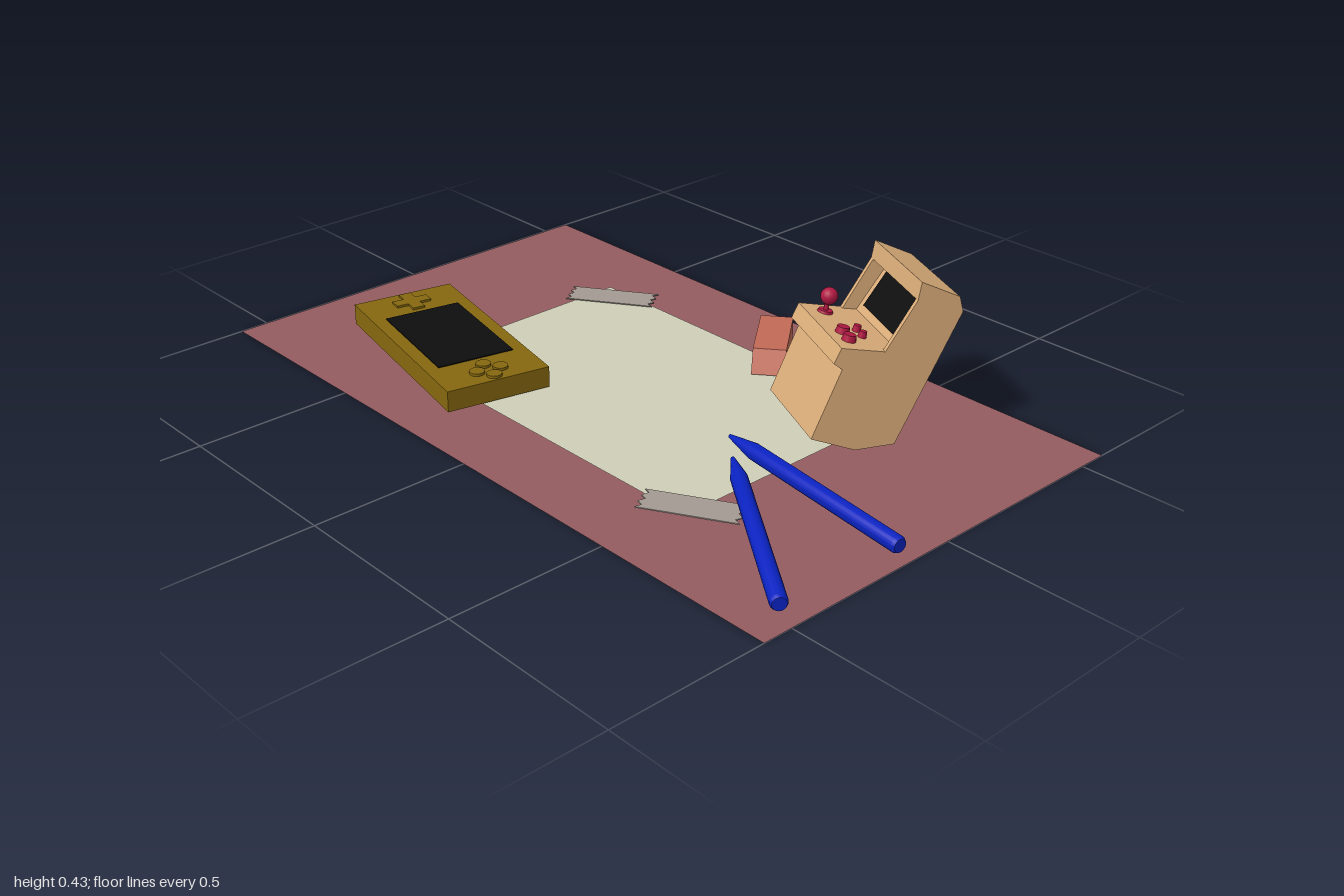
import * as THREE from 'three';
import { toCreasedNormals } from 'three/addons/utils/BufferGeometryUtils.js';

const material = (name, color, extra = {}) =>
  Object.assign(new THREE.MeshStandardMaterial({ color, ...extra }), { name });

const mats = {
  mat: material('dusty rose', 0x945c60, { side: THREE.DoubleSide }),
  paper: material('paper cream', 0xcfcfb8, { side: THREE.DoubleSide }),
  tape: material('tape grey', 0xa39b92),
  gold: material('dark gold', 0x86680f),
  black: material('screen black', 0x0e0e0e),
  rubber: material('rubber pink', 0xc26b56),
  wood: material('light wood', 0xdcae7a),
  red: material('control red', 0xb01842),
  blue: material('pen blue', 0x0a22c0),
};

function add(parent, name, geometry, mat, x = 0, y = 0, z = 0) {
  const mesh = new THREE.Mesh(geometry, mat);
  mesh.name = name;
  mesh.position.set(x, y, z);
  parent.add(mesh);
  return mesh;
}

function addGroup(parent, name, x, y, z, turn) {
  const group = new THREE.Group();
  group.name = name;
  group.position.set(x, y, z);
  group.rotation.y = turn;
  parent.add(group);
  return group;
}

const shapeOf = (points) => new THREE.Shape(points.map(([x, y]) => new THREE.Vector2(x, y)));

// Side profile given as [z, y], extruded along x and centred on it
function profileBlock(points, width) {
  return new THREE.ExtrudeGeometry(shapeOf(points), { depth: width, bevelEnabled: false })
    .translate(0, 0, -width / 2)
    .rotateY(-Math.PI / 2);
}

// Strip of tape with torn ends
function tapeStrip(length, width) {
  const points = [], teeth = 6;
  for (const side of [1, -1]) {
    for (let i = 0; i <= teeth; i++) {
      const notch = i % 2 ? 0.014 : 0;
      points.push([side * (length / 2 - notch), side * width * (i / teeth - 0.5)]);
    }
  }
  return new THREE.ExtrudeGeometry(shapeOf(points), { depth: 0.003, bevelEnabled: false })
    .rotateX(-Math.PI / 2);
}

function addPen(parent, name, tip, end) {
  const axis = end.clone().sub(tip), length = axis.length();
  const profile = [[0, 0], [0.005, 0.004], [0.021, 0.095], [0.021, length - 0.008],
    [0.017, length], [0, length]].map(([r, y]) => new THREE.Vector2(r, y));
  const geometry = toCreasedNormals(new THREE.LatheGeometry(profile, 16), 0.5);
  const pen = add(parent, name, geometry, mats.blue, tip.x, tip.y, tip.z);
  pen.quaternion.setFromUnitVectors(new THREE.Vector3(0, 1, 0), axis.normalize());
}

function addHandheld(parent) {
  const g = addGroup(parent, 'handheldConsole', -0.487, 0.01, 0.256, -0.213);
  add(g, 'consoleBody', new THREE.BoxGeometry(0.607, 0.057, 0.285), mats.gold, 0, 0.0285, 0);
  add(g, 'consoleScreen', new THREE.BoxGeometry(0.34, 0.004, 0.212), mats.black, 0, 0.058, 0);
  // Cross pad on one side, four round buttons on the other
  const a = 0.05, b = 0.017;
  const cross = shapeOf([[a, -b], [a, b], [b, b], [b, a], [-b, a], [-b, b],
    [-a, b], [-a, -b], [-b, -b], [-b, -a], [b, -a], [b, -b]]);
  add(g, 'directionPad', new THREE.ExtrudeGeometry(cross, { depth: 0.006, bevelEnabled: false })
    .rotateX(-Math.PI / 2), mats.gold, -0.24, 0.057, 0);
  for (let i = 0; i < 4; i++) {
    const t = i * Math.PI / 2;
    add(g, 'roundButton', new THREE.CylinderGeometry(0.02, 0.02, 0.007, 20), mats.gold,
      0.245 + 0.033 * Math.cos(t), 0.0605, 0.033 * Math.sin(t));
  }
}

function addArcade(parent) {
  const g = addGroup(parent, 'arcadeCabinet', 0.504, 0, -0.267, -0.436);
  const base = [[0.188, 0.06], [0.116, 0.234], [0.138, 0.252], [0.12, 0.29], [0.008, 0.265]];
  const top = [[-0.068, 0.387], [-0.076, 0.433], [-0.177, 0.383], [-0.188, 0.343],
    [-0.03, 0.012], [0.073, 0.012]];
  // Core with a recessed screen bay, between two full side panels
  const recess = [[-0.03, 0.257], [-0.112, 0.376]];
  add(g, 'cabinetCore', profileBlock([...base, ...recess, ...top], 0.248), mats.wood);
  for (const s of [-1, 1]) {
    add(g, 'sidePanel', profileBlock([...base, ...top], 0.012), mats.wood, s * 0.13, 0, 0);
  }

  const slope = Math.atan2(0.082, 0.119);
  const screen = add(g, 'cabinetScreen', new THREE.BoxGeometry(0.205, 0.108, 0.006), mats.black,
    0, 0.319, -0.071);
  screen.rotation.x = -slope;

  // Controls stand square to the sloped panel
  const panel = addGroup(g, 'controlPanel', 0, 0.265, 0.008, 0);
  panel.rotation.x = -0.22;
  add(panel, 'joystickBase', new THREE.CylinderGeometry(0.018, 0.02, 0.006, 16), mats.red,
    -0.09, 0.003, 0.062);
  add(panel, 'joystickShaft', new THREE.CylinderGeometry(0.006, 0.006, 0.04, 10), mats.red,
    -0.09, 0.02, 0.062);
  add(panel, 'joystickBall', new THREE.SphereGeometry(0.022, 18, 12), mats.red,
    -0.09, 0.042, 0.062);
  for (const [x, z, r] of [[0.019, 0.025, 0.011], [0.055, 0.026, 0.011],
    [0.035, 0.07, 0.018], [0.082, 0.073, 0.018]]) {
    add(panel, 'arcadeButton', new THREE.CylinderGeometry(r * 0.85, r, 0.016, 16), mats.red,
      x, 0.008, z);
  }
}

export function createModel() {
  const model = new THREE.Group();
  model.name = 'deskScene';

  // Flat layers
  add(model, 'deskMat', new THREE.PlaneGeometry(2, 1.16).rotateX(-Math.PI / 2), mats.mat);
  add(model, 'paperSheet', new THREE.PlaneGeometry(1.07, 0.72).rotateX(-Math.PI / 2), mats.paper,
    -0.003, 0.004, 0);
  for (const [x, z, turn] of [[-0.477, -0.313, 0.6], [0.52, 0.325, 0.52]]) {
    add(model, 'tapeStrip', tapeStrip(0.25, 0.085), mats.tape, x, 0.007, z).rotation.y = turn;
  }

  addHandheld(model);
  addArcade(model);

  // Eraser with one slanted end
  const eraser = profileBlock([[-0.12, 0], [0.12, 0], [0.087, 0.06], [-0.12, 0.06]], 0.088);
  add(model, 'eraser', eraser, mats.rubber, 0.098, 0.01, -0.373).rotation.y = 0.675;

  addPen(model, 'upperPen', new THREE.Vector3(0.37, 0.035, 0.058), new THREE.Vector3(0.977, 0.034, 0.136));
  addPen(model, 'lowerPen', new THREE.Vector3(0.462, 0.042, 0.138), new THREE.Vector3(0.955, 0.031, 0.49));

  return model;
}
